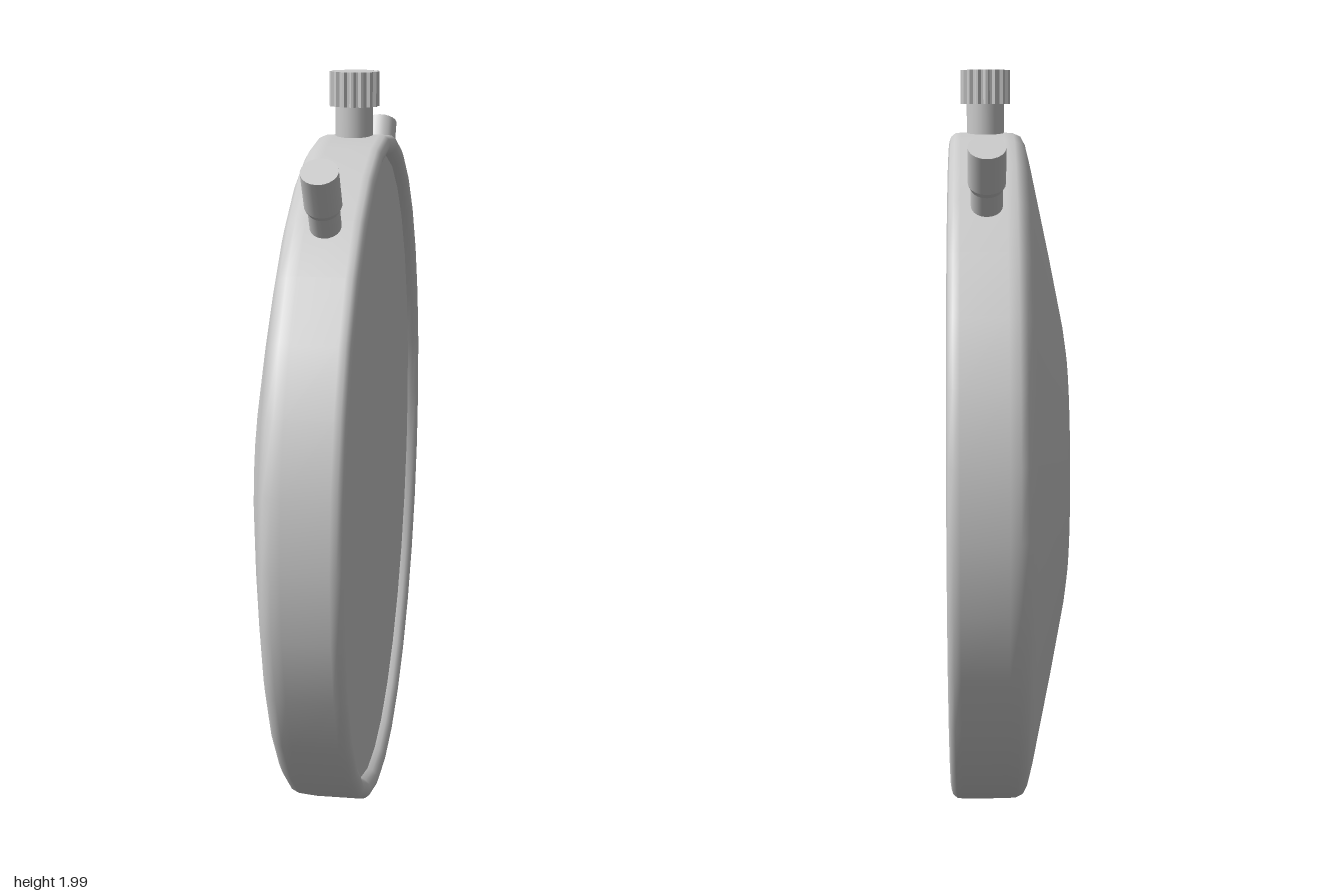
import * as THREE from 'three';

const CENTER_Y = 0.922; // middle of the round case
const AXIS_X = 0.06;    // plane holding the crown and both pushers

export function createModel() {
  const group = new THREE.Group();
  const material = new THREE.MeshStandardMaterial({ color: 0xcccccc });
  const add = (parent, name, geometry) => {
    const mesh = new THREE.Mesh(geometry, material);
    mesh.name = name;
    parent.add(mesh);
    return mesh;
  };
  const rod = (r1, r0, y0, y1, sides) =>
    new THREE.CylinderGeometry(r1, r0, y1 - y0, sides).translate(0, (y0 + y1) / 2, 0);

  // Case: domed back, rounded band, raised front rim (radius, depth along x)
  const profile = [
    [0, -0.16], [0.25, -0.16], [0.33, -0.157], [0.4, -0.147], [0.6, -0.107],
    [0.84, -0.056], [0.88, -0.046], [0.902, -0.034], [0.911, -0.015], [0.913, 0.01],
    [0.913, 0.125], [0.911, 0.141], [0.902, 0.152], [0.888, 0.157],
    [0.873, 0.152], [0.862, 0.14], [0.857, 0.125],
  ].map(([r, x]) => new THREE.Vector2(r, x));
  const body = add(group, 'case', new THREE.LatheGeometry(profile, 32).rotateZ(-Math.PI / 2));
  body.position.y = CENTER_Y;

  // Dial: flat face sunk inside the rim
  const dial = add(group, 'dial', new THREE.CircleGeometry(0.86, 32).rotateY(Math.PI / 2));
  dial.position.set(0.126, CENTER_Y, 0);

  // Crown: plain stem with a fluted cap
  const crown = new THREE.Group();
  crown.name = 'crown';
  crown.position.x = AXIS_X;
  group.add(crown);
  add(crown, 'crownStem', rod(0.05, 0.05, 1.78, 1.915, 24));
  const flutes = new THREE.Shape();
  const teeth = 16;
  for (let i = 0; i < teeth * 4; i++) {
    const a = (i / (teeth * 4)) * Math.PI * 2;
    const r = [0.066, 0.066, 0.059, 0.059][i % 4];
    if (i) flutes.lineTo(r * Math.cos(a), r * Math.sin(a));
    else flutes.moveTo(r, 0);
  }
  flutes.closePath();
  const cap = new THREE.ExtrudeGeometry(flutes, { depth: 0.09, bevelEnabled: false });
  add(crown, 'crownCap', cap.rotateX(-Math.PI / 2).translate(0, 1.91, 0));

  // Pushers: one on each side of the crown, pointing away from the case centre
  for (const side of [1, -1]) {
    const pusher = new THREE.Group();
    pusher.name = side > 0 ? 'frontPusher' : 'backPusher';
    pusher.position.set(AXIS_X, CENTER_Y, 0);
    pusher.rotation.x = side * THREE.MathUtils.degToRad(35);
    group.add(pusher);
    add(pusher, 'pusherStem', rod(0.039, 0.039, 0.86, 0.975, 20));
    add(pusher, 'pusherCollar', rod(0.046, 0.039, 0.965, 0.98, 20));
    add(pusher, 'pusherCap', rod(0.046, 0.046, 0.98, 1.085, 20));
  }
  return group;
}
